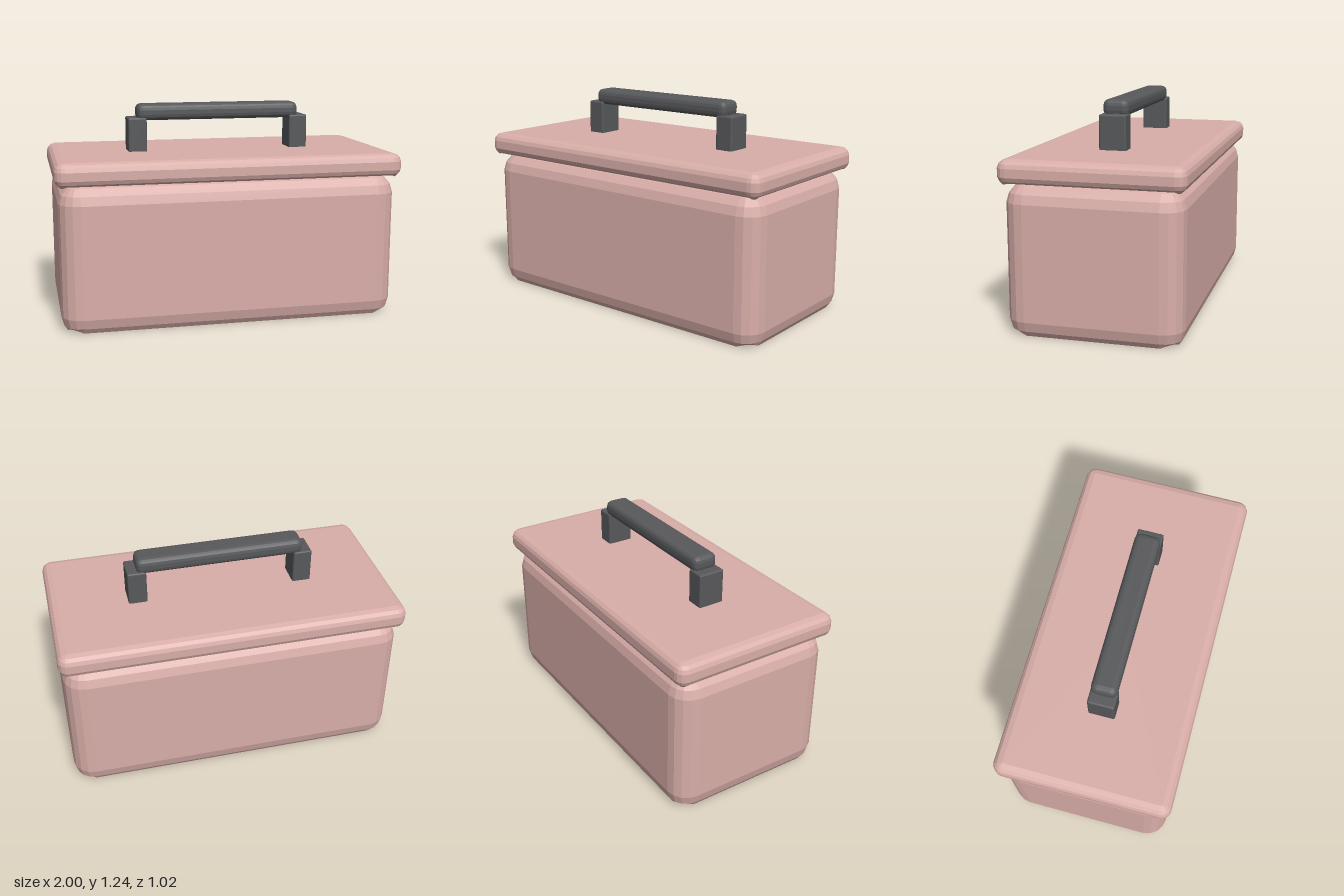
import * as THREE from 'three';
import { RoundedBoxGeometry } from 'three/addons/geometries/RoundedBoxGeometry.js';

const pink = new THREE.MeshStandardMaterial({ color: 0xd9aea9, flatShading: true, side: THREE.DoubleSide });
const dark = new THREE.MeshStandardMaterial({ color: 0x58595b, flatShading: true });

// Rounded tray shell, closed on top and open below.
// profile: [inset, y, corner offset in y] from the bottom rim to the top edge.
function shell(halfX, halfZ, radius, profile) {
  const steps = 4;
  const count = 4 * (steps + 1);
  const signs = [[1, 1], [-1, 1], [-1, -1], [1, -1]];
  const pos = [];
  const index = [];
  for (const [inset, y, offset = 0] of profile) {
    const r = Math.max(radius - inset, 0.005);
    signs.forEach(([sx, sz], q) => {
      for (let i = 0; i <= steps; i++) {
        const t = (i / steps) * Math.PI / 2;
        const a = q * Math.PI / 2 + t;
        pos.push(
          sx * (halfX - inset - r) + r * Math.cos(a),
          y + offset * Math.sin(2 * t),
          sz * (halfZ - inset - r) + r * Math.sin(a)
        );
      }
    });
  }
  for (let k = 0; k < profile.length - 1; k++) {
    for (let i = 0; i < count; i++) {
      const a = k * count + i;
      const b = k * count + (i + 1) % count;
      index.push(a, a + count, b, b, a + count, b + count);
    }
  }
  // Flat top
  const last = (profile.length - 1) * count;
  pos.push(0, profile[profile.length - 1][1], 0);
  for (let i = 0; i < count; i++) index.push(last + count, last + (i + 1) % count, last + i);

  const geo = new THREE.BufferGeometry();
  geo.setAttribute('position', new THREE.Float32BufferAttribute(pos, 3));
  geo.setIndex(index);
  geo.computeVertexNormals();
  return geo;
}

export function createModel() {
  const group = new THREE.Group();
  const add = (name, geo, mat, x = 0, y = 0) => {
    const mesh = new THREE.Mesh(geo, mat);
    mesh.name = name;
    mesh.position.set(x, y, 0);
    group.add(mesh);
  };

  // Box body with soft shoulders and an open, curled-in bottom rim
  add('body', shell(0.98, 0.49, 0.12, [
    [0.035, 0, 0.018], [0.015, 0.03], [0, 0.085], [0, 0.73],
    [0.015, 0.78], [0.05, 0.82], [0.1, 0.84],
  ]), pink);

  // Hollow overhanging lid
  add('lid', shell(1.0, 0.51, 0.06, [
    [0.028, 0.838, -0.008], [0.01, 0.85], [0, 0.872], [0, 0.92],
    [0.008, 0.942], [0.025, 0.958], [0.055, 0.966],
  ]), pink);

  // Handle posts and grip
  for (const s of [1, -1]) {
    add(s > 0 ? 'leftHandlePost' : 'rightHandlePost',
      new RoundedBoxGeometry(0.11, 0.21, 0.155, 2, 0.01), dark, s * 0.49, 1.058);
  }
  add('handleGrip', new RoundedBoxGeometry(0.98, 0.095, 0.15, 2, 0.035), dark, 0, 1.193);

  return group;
}
